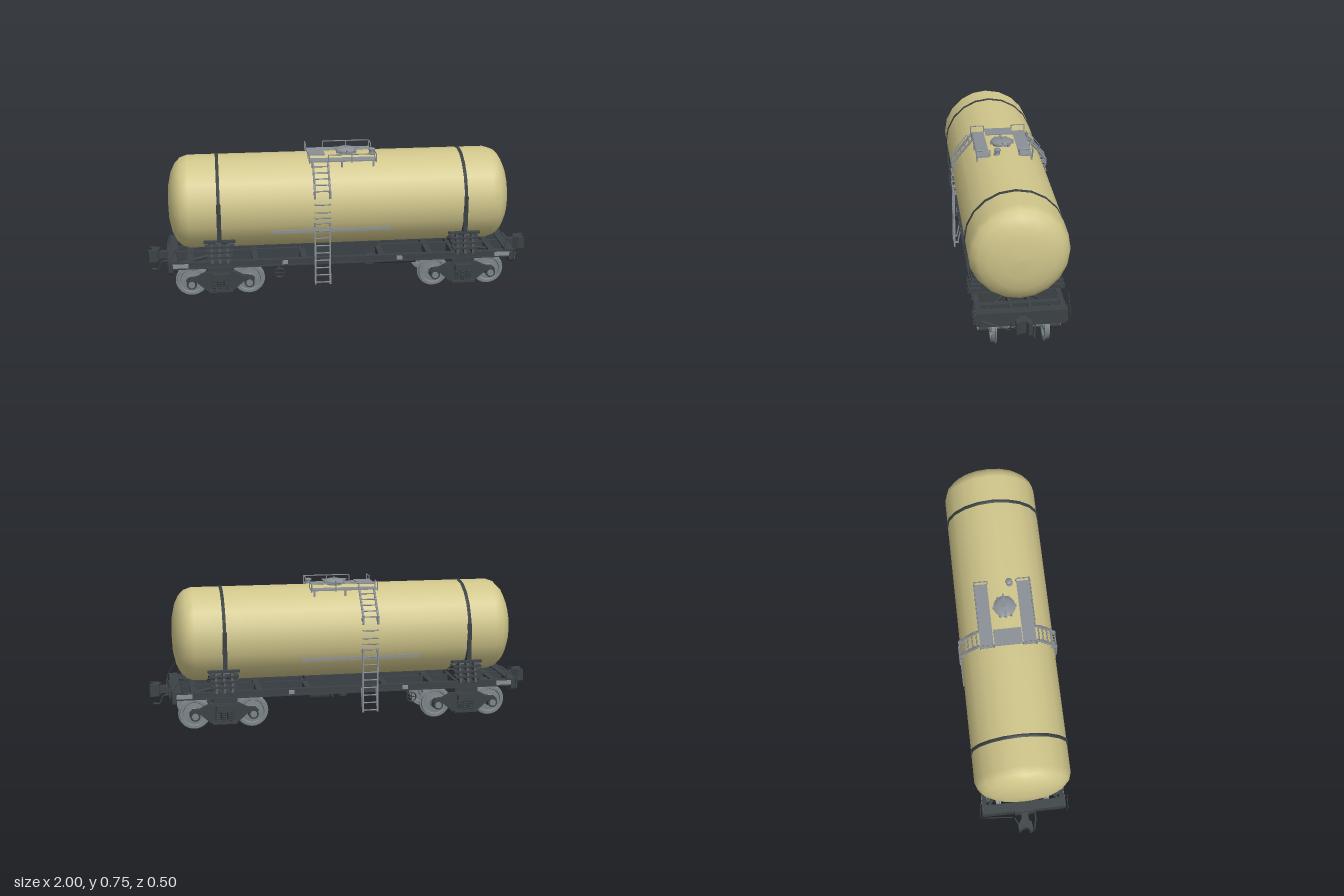
import * as THREE from 'three';

const mat = (color, side = THREE.FrontSide) => new THREE.MeshStandardMaterial({ color, side });
const CREAM = mat(0xd0c68b), DARK = mat(0x3b4145), GREY = mat(0x8a9096), STEEL = mat(0x7c8589);
const V = (x, y, z) => new THREE.Vector3(x, y, z);
const TY = 0.473, TR = 0.24; // tank axis height and radius

function add(parent, name, geo, m, x = 0, y = 0, z = 0) {
  const mesh = new THREE.Mesh(geo, m);
  mesh.name = name;
  mesh.position.set(x, y, z);
  parent.add(mesh);
  return mesh;
}
// Box given by its min/max on each axis
function box(p, name, m, x0, x1, y0, y1, z0, z1) {
  return add(p, name, new THREE.BoxGeometry(x1 - x0, y1 - y0, z1 - z0), m, (x0 + x1) / 2, (y0 + y1) / 2, (z0 + z1) / 2);
}
// Round bar between two points
function rod(p, name, m, a, b, r = 0.003, seg = 6) {
  const d = b.clone().sub(a);
  const mesh = add(p, name, new THREE.CylinderGeometry(r, r, d.length(), seg), m);
  mesh.position.copy(a).addScaledVector(d, 0.5);
  mesh.quaternion.setFromUnitVectors(V(0, 1, 0), d.normalize());
  return mesh;
}
function path(p, name, m, pts, r = 0.003) {
  for (let i = 1; i < pts.length; i++) rod(p, name, m, pts[i - 1], pts[i], r);
}
// Cylinder lying along z or x
function drum(p, name, m, axis, r, len, x, y, z, seg = 16) {
  const g = new THREE.CylinderGeometry(r, r, len, seg);
  axis === 'z' ? g.rotateX(Math.PI / 2) : g.rotateZ(-Math.PI / 2);
  return add(p, name, g, m, x, y, z);
}
function group(parent, name) {
  const g = new THREE.Group();
  g.name = name;
  parent.add(g);
  return g;
}
const lathe = (pts, seg) => new THREE.LatheGeometry(pts.map(([r, y]) => new THREE.Vector2(r, y)), seg);

function buildTank(root) {
  const end = [[0, 0.881], [0.09, 0.876], [0.155, 0.862], [0.2, 0.84], [0.227, 0.813], [TR, 0.775]];
  const pts = [...end.map(([r, x]) => [r, -x]), ...end.slice().reverse()];
  add(root, 'tankShell', lathe(pts, 20).rotateZ(-Math.PI / 2), CREAM, -0.004, TY, 0);
  for (const x of [-0.63, 0.625]) {
    const band = [[0.238, -0.008], [0.244, -0.008], [0.244, 0.008], [0.238, 0.008]];
    add(root, 'tankBand', lathe(band, 20).rotateZ(-Math.PI / 2), DARK, x, TY, 0);
    for (const s of [-1, 1]) box(root, 'bandTightener', DARK, x - 0.011, x + 0.011, 0.33, 0.52, s * 0.236 - 0.004, s * 0.236 + 0.004);
  }
  for (const s of [-1, 1]) {
    const bar = box(root, 'sideBar', GREY, -0.37, 0.24, 0.354, 0.367, -0.004, 0.004);
    bar.position.z = s * 0.217;
  }
}

function buildSaddle(root, x) {
  const g = group(root, 'saddle');
  g.position.x = x;
  // Web plates hollowed to the tank's curve
  const s = new THREE.Shape();
  s.moveTo(-0.236, 0.21);
  s.lineTo(0.236, 0.21);
  s.lineTo(0.205, 0.32);
  for (let i = 0; i <= 16; i++) {
    const a = 0.9 - i * 1.8 / 16;
    s.lineTo(0.246 * Math.sin(a), Math.max(0.222, TY - 0.246 * Math.cos(a)));
  }
  s.lineTo(-0.205, 0.32);
  for (const wx of [-0.04, 0, 0.04]) {
    const geo = new THREE.ExtrudeGeometry(s, { depth: 0.012, bevelEnabled: false });
    add(g, 'saddleWeb', geo.rotateY(Math.PI / 2), DARK, wx - 0.006);
  }
  for (const k of [-1, 1]) {
    for (const y of [0.238, 0.263, 0.288, 0.313]) {
      const out = 0.238 - (y - 0.215) * 0.3;
      const w = 0.065 + (y - 0.238) * 0.2;
      const rib = box(g, 'saddleRib', DARK, -w, w, y - 0.005, y + 0.005, out - 0.055, out);
      rib.position.z *= k;
    }
    // Pads between saddle and shell
    for (let i = 0; i < 8; i++) {
      const a = k * (0.14 + i * 0.1);
      const pad = box(g, 'saddlePad', DARK, -0.075, 0.075, -0.005, 0.005, -0.008, 0.008);
      pad.position.set(0, TY - 0.244 * Math.cos(a), 0.244 * Math.sin(a));
      pad.rotation.x = -a;
    }
  }
}

function buildFrame(root) {
  const g = group(root, 'underframe');
  for (const s of [-1, 1]) {
    const mid = box(g, 'centreSill', DARK, -0.89, 0.89, 0.16, 0.214, -0.008, 0.008);
    mid.position.z = s * 0.045;
    for (const [y0, y1, w] of [[0.176, 0.212, 0.004], [0.206, 0.212, 0.012], [0.176, 0.182, 0.012]]) {
      box(g, 'sideSill', DARK, -0.89, 0.89, y0, y1, s * 0.2 - w, s * 0.2 + w);
    }
    for (const x of [-0.3, 0.29]) box(g, 'sillBracket', GREY, x - 0.014, x + 0.014, 0.185, 0.204, s * 0.21 - 0.004, s * 0.21 + 0.004);
  }
  for (const x of [-0.78, -0.45, -0.2, 0.2, 0.45, 0.78]) box(g, 'crossBeam', DARK, x - 0.015, x + 0.015, 0.175, 0.21, -0.2, 0.2);
  for (const x of [-0.63, 0.625]) box(g, 'bodyBolster', DARK, x - 0.06, x + 0.06, 0.15, 0.213, -0.2, 0.2);
  box(g, 'centreCradle', DARK, -0.2, 0.2, 0.212, 0.236, -0.055, 0.055);

  for (const e of [-1, 1]) {
    const end = group(g, 'frameEnd');
    if (e < 0) end.rotation.y = Math.PI;
    // Headstock with rounded lower corners
    const s = new THREE.Shape();
    s.moveTo(-0.215, 0.218);
    s.lineTo(-0.215, 0.165);
    s.quadraticCurveTo(-0.212, 0.147, -0.19, 0.146);
    s.lineTo(0.19, 0.146);
    s.quadraticCurveTo(0.212, 0.147, 0.215, 0.165);
    s.lineTo(0.215, 0.218);
    add(end, 'headstock', new THREE.ExtrudeGeometry(s, { depth: 0.022, bevelEnabled: false }).rotateY(Math.PI / 2), DARK, 0.868);
    box(end, 'headstockFlange', DARK, 0.845, 0.892, 0.212, 0.219, -0.215, 0.215);
    for (const k of [-1, 1]) {
      box(end, 'endSidePlate', GREY, 0.79, 0.885, 0.184, 0.206, k * 0.209 - 0.005, k * 0.209 + 0.005);
      path(end, 'cornerHandrail', DARK, [V(0.9, 0.17, k * 0.215), V(0.9, 0.205, k * 0.225), V(0.85, 0.285, k * 0.222), V(0.835, 0.21, k * 0.215)], 0.002);
      rod(end, 'endDiagonal', DARK, V(0.86, 0.195, k * 0.19), V(0.66, 0.195, k * 0.05), 0.009);
    }
    // Coupler, its lever and the hose
    box(end, 'couplerPocket', DARK, 0.885, 0.9, 0.15, 0.222, -0.05, 0.05);
    box(end, 'couplerShank', DARK, 0.88, 0.96, 0.17, 0.205, -0.018, 0.018);
    const jaw = new THREE.Shape([[0.935, -0.022], [0.965, -0.04], [0.995, -0.038], [0.978, -0.01], [0.978, 0.008], [1, 0.018], [0.995, 0.036], [0.95, 0.03]].map(q => new THREE.Vector2(...q)));
    add(end, 'couplerHead', new THREE.ExtrudeGeometry(jaw, { depth: 0.062, bevelEnabled: false }).rotateX(-Math.PI / 2), DARK, 0, 0.157);
    path(end, 'uncouplingLever', DARK, [V(0.9, 0.16, 0.205), V(0.905, 0.19, 0.19), V(0.905, 0.135, 0.06), V(0.925, 0.185, 0.05), V(0.96, 0.15, 0.03)]);
    const hose = new THREE.CatmullRomCurve3([V(0.89, 0.17, -0.055), V(0.93, 0.165, -0.055), V(0.95, 0.125, -0.05), V(0.98, 0.125, -0.045)]);
    add(end, 'brakeHose', new THREE.TubeGeometry(hose, 12, 0.005, 6), DARK);
  }
}

function buildBogie(root, x) {
  const g = group(root, 'bogie');
  g.position.x = x;
  const wheel = [[0.012, -0.014], [0.026, -0.014], [0.03, -0.006], [0.058, -0.004], [0.063, -0.012], [0.083, -0.012], [0.083, -0.006], [0.076, -0.004], [0.074, 0.013], [0.061, 0.013], [0.057, 0.004], [0.03, 0.006], [0.026, 0.016], [0.012, 0.016]];
  for (const wx of [-0.147, 0.147]) {
    drum(g, 'axle', STEEL, 'z', 0.016, 0.37, wx, 0.085, 0);
    for (const s of [-1, 1]) {
      const geo = new THREE.LatheGeometry(wheel.map(([r, y]) => new THREE.Vector2(r, y)), 28).toNonIndexed();
      geo.computeVertexNormals();
      add(g, 'wheel', geo.rotateX(s * Math.PI / 2), STEEL, wx, 0.084, s * 0.125);
      drum(g, 'axleBox', DARK, 'z', 0.026, 0.045, wx, 0.085, s * 0.172);
      drum(g, 'axleCap', STEEL, 'z', 0.017, 0.006, wx, 0.085, s * 0.197, 12);
      box(g, 'brakeShoe', DARK, wx * 0.42 - 0.008, wx * 0.42 + 0.008, 0.065, 0.12, s * 0.125 - 0.014, s * 0.125 + 0.014);
    }
    rod(g, 'brakeBeam', DARK, V(wx * 0.4, 0.08, -0.13), V(wx * 0.4, 0.08, 0.13), 0.007);
  }
  // Cast side frames with a spring window
  const f = new THREE.Shape([[-0.175, 0.1], [-0.16, 0.115], [-0.12, 0.118], [-0.075, 0.142], [0.075, 0.142], [0.12, 0.118], [0.16, 0.115], [0.175, 0.1], [0.165, 0.094], [0.12, 0.09], [0.065, 0.042], [-0.065, 0.042], [-0.12, 0.09], [-0.165, 0.094]].map(q => new THREE.Vector2(...q)));
  f.holes.push(new THREE.Path([[-0.045, 0.056], [-0.045, 0.122], [0.045, 0.122], [0.045, 0.056]].map(q => new THREE.Vector2(...q))));
  for (const s of [-1, 1]) {
    add(g, 'sideFrame', new THREE.ExtrudeGeometry(f, { depth: 0.028, bevelEnabled: false }), DARK, 0, 0, s * 0.17 - 0.014);
    box(g, 'springSeat', DARK, -0.06, 0.06, 0.042, 0.052, s * 0.178 - 0.03, s * 0.178 + 0.03);
    for (const sx of [-0.032, 0, 0.032]) for (const sz of [0.162, 0.192]) {
      for (let i = 0; i < 5; i++) add(g, 'springCoil', new THREE.TorusGeometry(0.011, 0.0035, 5, 10).rotateX(Math.PI / 2), DARK, sx, 0.057 + i * 0.0105, s * sz);
    }
  }
  box(g, 'bolster', DARK, -0.042, 0.042, 0.105, 0.138, -0.205, 0.205);
  add(g, 'centrePivot', new THREE.CylinderGeometry(0.04, 0.04, 0.03, 16), DARK, 0, 0.148, 0);
}

function buildLadder(root, s) {
  const g = group(root, 'sideLadder');
  const xs = [-0.148, -0.072];
  const rung = (y, z) => rod(g, 'rung', GREY, V(xs[0], y, s * z), V(xs[1], y, s * z), 0.0035);
  for (const x of xs) {
    box(g, 'lowerStile', GREY, x - 0.004, x + 0.004, 0.08, 0.412, s * 0.242 - 0.005, s * 0.242 + 0.005);
    rod(g, 'ladderBrace', GREY, V(x, 0.2, s * 0.205), V(x, 0.11, s * 0.225), 0.004);
    box(g, 'ladderFoot', GREY, x - 0.004, x + 0.004, 0.105, 0.112, s * 0.232 - 0.012, s * 0.232 + 0.012);
    box(g, 'stileBracket', GREY, x - 0.005, x + 0.005, 0.39, 0.41, s * 0.235 - 0.012, s * 0.235 + 0.012);
    path(g, 'upperStile', GREY, [V(x, 0.535, s * 0.243), V(x, 0.575, s * 0.243), V(x, 0.695, s * 0.142)], 0.006);
    box(g, 'stileBracket', GREY, x - 0.005, x + 0.005, 0.55, 0.568, s * 0.234 - 0.014, s * 0.234 + 0.014);
    path(g, 'ladderHandrail', GREY, [V(x, 0.605, s * 0.212), V(x, 0.615, s * 0.226), V(x, 0.693, s * 0.166), V(x, 0.683, s * 0.152)], 0.002);
  }
  for (let y = 0.09; y < 0.41; y += 0.0395) rung(y, 0.242);
  // Step hoops fixed to the shell
  for (const y of [0.435, 0.465, 0.505]) path(g, 'stepHoop', GREY, [V(xs[0], y, s * 0.234), V(xs[0], y, s * 0.248), V(xs[1], y, s * 0.248), V(xs[1], y, s * 0.234)], 0.0035);
  for (let i = 0; i < 5; i++) rung(0.575 + i * 0.026, 0.243 - i * 0.0219);
}

function buildTop(root) {
  const g = group(root, 'topPlatform');
  box(g, 'platformBridge', GREY, -0.166, -0.08, 0.714, 0.719, -0.07, 0.07);
  for (const s of [-1, 1]) {
    box(g, 'walkway', GREY, -0.166, 0.174, 0.696, 0.702, s * 0.107 - 0.033, s * 0.107 + 0.033);
    for (const x of [-0.15, 0, 0.16]) box(g, 'walkwayLeg', GREY, x - 0.004, x + 0.004, 0.665, 0.698, s * 0.137 - 0.004, s * 0.137 + 0.004);
    // Railings
    for (const x of [-0.166, -0.07, 0.05, 0.174]) rod(g, 'railPost', GREY, V(x, 0.69, s * 0.141), V(x, 0.734, s * 0.141), 0.003);
    rod(g, 'topRail', GREY, V(-0.07, 0.734, s * 0.141), V(0.174, 0.734, s * 0.141), 0.003);
    for (const x of [-0.166, 0.174]) path(g, 'endRail', GREY, [V(x, 0.734, s * 0.141), V(x, 0.734, s * 0.073), V(x, 0.698, s * 0.073)], 0.003);
  }
  // Hatch with cross bar and bolts
  add(g, 'hatchNeck', new THREE.CylinderGeometry(0.046, 0.046, 0.03, 20), GREY, 0.035, 0.712, 0);
  add(g, 'hatchLid', lathe([[0.055, 0], [0.055, 0.008], [0.035, 0.015], [0, 0.018]], 20), GREY, 0.035, 0.721, 0);
  box(g, 'hatchBar', GREY, -0.03, 0.1, 0.731, 0.737, -0.005, 0.005);
  add(g, 'hatchScrew', new THREE.CylinderGeometry(0.006, 0.006, 0.022, 8), GREY, 0.035, 0.735, 0);
  for (let i = 0; i < 6; i++) {
    const a = i * Math.PI / 3 + 0.5;
    box(g, 'hatchBolt', GREY, -0.005, 0.005, 0.712, 0.732, -0.005, 0.005).position.set(0.035 + 0.055 * Math.cos(a), 0.722, 0.055 * Math.sin(a));
  }
  add(g, 'safetyValve', lathe([[0.02, 0], [0.02, 0.008], [0.013, 0.01], [0.013, 0.026], [0.018, 0.028], [0.016, 0.036], [0, 0.038]], 14), GREY, 0.165, 0.7, 0.036);
}

function buildBrakes(root) {
  const g = group(root, 'brakeGear');
  drum(g, 'airReservoir', DARK, 'x', 0.026, 0.19, 0.3, 0.148, 0.085);
  drum(g, 'brakeCylinder', DARK, 'x', 0.032, 0.1, 0.13, 0.15, -0.08);
  box(g, 'brakeValve', DARK, 0.13, 0.17, 0.125, 0.175, 0.06, 0.1);
  add(g, 'outletPipe', new THREE.CylinderGeometry(0.028, 0.02, 0.12, 14), DARK, -0.01, 0.17, 0);
  add(g, 'outletFlange', new THREE.CylinderGeometry(0.03, 0.03, 0.012, 14), DARK, -0.01, 0.125, 0);
  for (const z of [-0.02, 0.025]) rod(g, 'brakeRod', DARK, V(-0.55, 0.135, z), V(0.55, 0.135, z), 0.004);
  path(g, 'brakePipe', DARK, [V(-0.88, 0.17, 0.07), V(-0.4, 0.145, 0.12), V(0.4, 0.15, 0.12), V(0.88, 0.17, 0.07)], 0.004);
  rod(g, 'brakeLever', DARK, V(0.06, 0.135, -0.1), V(0.06, 0.135, 0.07), 0.006);
  for (const s of [-1, 1]) {
    add(g, 'handWheel', new THREE.TorusGeometry(0.024, 0.003, 6, 18), DARK, -0.33, 0.145, s * 0.225);
    box(g, 'wheelSpoke', DARK, -0.354, -0.306, 0.143, 0.147, s * 0.225 - 0.002, s * 0.225 + 0.002);
    box(g, 'wheelSpoke', DARK, -0.332, -0.328, 0.121, 0.169, s * 0.225 - 0.002, s * 0.225 + 0.002);
  }
  rod(g, 'wheelShaft', DARK, V(-0.33, 0.145, -0.235), V(-0.33, 0.145, 0.235), 0.004);
}

export function createModel() {
  const root = new THREE.Group();
  root.name = 'tankWagon';
  buildTank(root);
  buildFrame(root);
  for (const x of [-0.63, 0.63]) {
    buildSaddle(root, x);
    buildBogie(root, x);
  }
  for (const s of [-1, 1]) buildLadder(root, s);
  buildTop(root);
  buildBrakes(root);
  return root;
}
